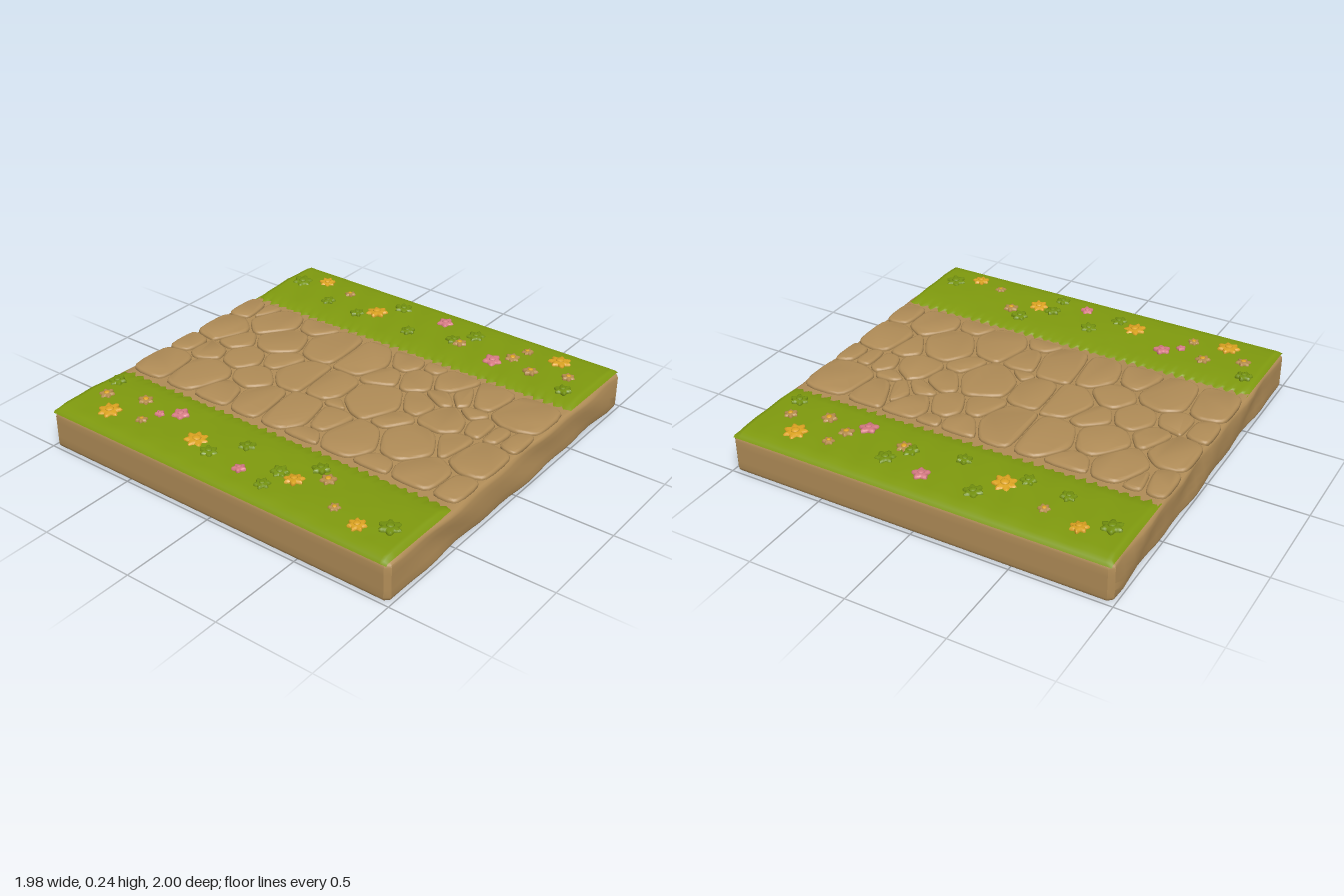
import * as THREE from 'three';
import { toCreasedNormals } from 'three/addons/utils/BufferGeometryUtils.js';

const mat = (name, color, side = THREE.FrontSide) => {
  const m = new THREE.MeshStandardMaterial({ color, side });
  m.name = name;
  return m;
};

// Cobbles: x, z, radius for each stone
const STONES = [
  -.33, -.88, .13, -.10, -.93, .07, .13, -.89, .12, .36, -.93, .07, .38, -.81, .05,
  -.11, -.78, .07, -.31, -.66, .14, -.05, -.59, .09, .06, -.74, .07, .33, -.70, .12,
  .20, -.53, .13, .41, -.49, .07, -.38, -.47, .10, -.17, -.41, .10, .04, -.40, .10,
  .28, -.31, .14, -.32, -.24, .13, -.02, -.25, .14, -.30, -.07, .15, -.01, -.08, .13,
  .29, -.08, .14, -.43, .10, .06, -.26, .10, .11, -.12, .08, .06, 0, .18, .15,
  .23, .08, .10, .39, .10, .09, .30, .24, .10, .42, .25, .06, -.32, .31, .14,
  -.08, .35, .08, .11, .37, .09, .22, .43, .07, .37, .38, .10, -.20, .53, .15,
  -.43, .50, .07, .06, .56, .11, .30, .52, .08, .35, .63, .11, .18, .64, .06,
  -.36, .73, .13, -.10, .70, .10, .11, .72, .08, .32, .83, .15, -.13, .87, .14,
  .11, .82, .07, .10, .92, .07, -.37, .90, .10];

// Plants: x, z, radius
const YELLOW = [-.85, -.74, .06, -.79, -.24, .06, -.77, .32, .05, -.87, .74, .045,
  .85, -.76, .045, .73, -.33, .06, .85, .72, .06];
const PINK = [-.67, -.45, .045, -.73, -.53, .025, -.85, .07, .035, .85, .03, .045, .66, .44, .05];
const TAN = [-.75, -.86, .04, -.68, -.67, .04, -.82, -.56, .03, -.68, .44, .04, -.83, .59, .03,
  .81, -.57, .03, .71, .21, .04, .74, .51, .04, .84, .54, .03, .68, .65, .04, .74, .83, .035];
const TUFTS = [-.63, -.91, .045, -.83, -.13, .045, -.69, -.02, .045, -.88, .23, .04, -.76, .23, .045,
  -.63, .36, .045, -.8, .86, .055, .78, -.88, .055, .68, -.62, .04, .66, -.41, .04,
  .85, -.24, .05, .66, -.08, .04, .82, .24, .05, .72, .17, .045, .62, .87, .045];

const triples = a => Array.from({ length: a.length / 3 }, (_, i) => a.slice(i * 3, i * 3 + 3));

// Extrude an outline of [x, z] points upward
function slabOf(shape, options) {
  const g = new THREE.ExtrudeGeometry(shape, options);
  g.rotateX(-Math.PI / 2);
  return g;
}
const toShape = pts => new THREE.Shape(pts.map(([x, z]) => new THREE.Vector2(x, -z)).reverse());

// Keep the part of a polygon where nx*x + nz*z <= d
function clip(poly, nx, nz, d) {
  const out = [];
  poly.forEach((p, i) => {
    const q = poly[(i + 1) % poly.length];
    const a = nx * p[0] + nz * p[1] - d, b = nx * q[0] + nz * q[1] - d;
    if (a <= 0) out.push(p);
    if (a * b < 0) out.push([p[0] + (q[0] - p[0]) * a / (a - b), p[1] + (q[1] - p[1]) * a / (a - b)]);
  });
  return out;
}

// Cut corners to round an outline
function roundOff(poly, t) {
  return poly.flatMap((p, i) => {
    const q = poly[(i + 1) % poly.length];
    const at = k => [p[0] + (q[0] - p[0]) * k, p[1] + (q[1] - p[1]) * k];
    return [at(t), at(1 - t)];
  });
}

// One cobble fills the space nearest to its centre, less a narrow joint
function stoneGeometry([x, z, r], all) {
  let poly = [[-.475, -.985], [.475, -.985], [.475, .975], [-.475, .975]];
  for (const [ox, oz, or] of all) {
    const dx = ox - x, dz = oz - z, len = Math.hypot(dx, dz);
    if (len === 0 || len > .7) continue;
    const reach = (len * len + r * r - or * or) / (2 * len) - .005;
    const nx = dx / len, nz = dz / len;
    poly = clip(poly, nx, nz, nx * x + nz * z + reach);
  }
  if (poly.length < 3) return null;
  poly = roundOff(roundOff(poly, .17), .25);
  const g = slabOf(toShape(poly), {
    depth: .01, bevelThickness: .012, bevelSize: .014, bevelOffset: -.014, bevelSegments: 3 });
  g.translate(0, .197, 0);
  return toCreasedNormals(g, .9);
}

function baseGeometry() {
  const S = .99, n = 24, pts = [];
  const corner = [[-1, -1], [1, -1], [1, 1], [-1, 1]];
  corner.forEach(([ax, az], k) => {
    const [bx, bz] = corner[(k + 1) % 4];
    for (let i = 0; i < n; i++) {
      const t = .012 + i / (n - 1) * .976;
      pts.push([S * (ax + (bx - ax) * t), S * (az + (bz - az) * t)]);
    }
  });
  const shape = toShape(pts);
  // Square sockets with hollowed sides near the corners
  for (const [cx, cz] of corner) {
    const hole = new THREE.Path();
    const X = cx * .81, Y = cz * .81, h = .085, c = .045;
    hole.moveTo(X - h, Y - h);
    hole.quadraticCurveTo(X, Y - c, X + h, Y - h);
    hole.quadraticCurveTo(X + c, Y, X + h, Y + h);
    hole.quadraticCurveTo(X, Y + c, X - h, Y + h);
    hole.quadraticCurveTo(X - c, Y, X - h, Y - h);
    shape.holes.push(hole);
  }
  const g = slabOf(shape, { depth: .15, steps: 4, curveSegments: 6,
    bevelThickness: .025, bevelSize: .022, bevelOffset: -.022, bevelSegments: 3 });
  g.translate(0, .025, 0);
  // Uneven earth on the front and back faces
  const p = g.attributes.position;
  for (let i = 0; i < p.count; i++) {
    const x = p.getX(i), y = p.getY(i), z = p.getZ(i);
    if (Math.abs(z) > .93 && Math.abs(x) < .95) {
      p.setZ(i, z + Math.sign(z) * .01 * Math.sin(x * 11 + y * 22) * Math.sin(x * 5 + 1));
    }
  }
  return toCreasedNormals(g, .7);
}

// Grass strip swept along z, with a ragged inner edge
function grassGeometry(side) {
  const profile = [[.505, .199], [.53, .21], [.58, .218], [.66, .222], [.75, .224],
    [.84, .224], [.92, .222], [.962, .215], [.98, .204], [.989, .19]];
  const rows = 110, cols = profile.length, pos = [], idx = [];
  for (let j = 0; j <= rows; j++) {
    const z = -.982 + 1.96 * j / rows;
    const end = j === 0 || j === rows;
    profile.forEach(([x, y], i) => {
      const ragged = i === 0 ? (j % 3 - 1) * .014 + .007 * Math.sin(j * 1.7) : 0;
      const bump = i > 1 && i < 7 ? .0035 * Math.sin(x * 23 + z * 13 * side) * Math.sin(z * 21 - x * 9) : 0;
      pos.push(side * (x + ragged), end ? Math.min(y, .199) : y + bump, z);
    });
  }
  for (let j = 0; j < rows; j++) for (let i = 0; i < cols - 1; i++) {
    const a = j * cols + i, b = a + 1, c = a + cols, d = c + 1;
    if (side > 0) idx.push(a, c, b, b, c, d);
    else idx.push(a, b, c, b, d, c);
  }
  const g = new THREE.BufferGeometry();
  g.setAttribute('position', new THREE.Float32BufferAttribute(pos, 3));
  g.setIndex(idx);
  g.computeVertexNormals();
  return g;
}

// Lobed blossom or leaf tuft
function lobedGeometry(r, lobes, depth, turn) {
  const pts = [];
  for (let i = 0; i < lobes * 6; i++) {
    const a = i / (lobes * 6) * Math.PI * 2;
    const q = r * (.84 + .16 * Math.cos(a * lobes));
    pts.push([q * Math.cos(a + turn), q * Math.sin(a + turn)]);
  }
  const g = slabOf(toShape(pts), { depth: .012, bevelThickness: depth, bevelSize: r * .25,
    bevelOffset: -r * .25, bevelSegments: 2 });
  return toCreasedNormals(g, .8);
}

export function createModel() {
  const model = new THREE.Group();
  model.name = 'gardenPathTile';
  const earth = mat('earth brown', 0xb08c57);
  const grass = mat('grass green', 0x7f9a0e, THREE.DoubleSide);
  const leaf = mat('leaf green', 0x74920f);
  const yellow = mat('blossom yellow', 0xdca321);
  const pink = mat('blossom pink', 0xd67b84);
  const tan = mat('blossom tan', 0xb58c4c);

  const add = (name, geometry, material, x = 0, y = 0, z = 0) => {
    const mesh = new THREE.Mesh(geometry, material);
    mesh.name = name;
    mesh.position.set(x, y, z);
    model.add(mesh);
    return mesh;
  };

  add('earthBase', baseGeometry(), earth);
  for (const side of [1, -1]) {
    add(side > 0 ? 'leftGrass' : 'rightGrass', grassGeometry(side), grass);
    // Pegs in the corner sockets
    for (const end of [1, -1]) {
      add('socketPeg', new THREE.SphereGeometry(.04, 16, 10), earth, side * .84, .045, end * .84);
    }
  }

  const stones = triples(STONES);
  for (const s of stones) {
    const g = stoneGeometry(s, stones);
    if (g) add('cobble', g, earth);
  }

  // Flowers and tufts, each leaning a little
  const plant = (name, list, material, lobes, centre) => triples(list).forEach(([x, z, r], i) => {
    const m = add(name, lobedGeometry(r, lobes, .008, i * 1.3), material, x, .216, z);
    m.rotation.set(.1 * Math.sin(i * 2.1), 0, .1 * Math.cos(i * 1.7));
    if (centre) {
      const c = new THREE.Mesh(new THREE.SphereGeometry(r * .35, 10, 6), centre);
      c.name = name + 'Centre';
      c.scale.y = .4;
      c.position.y = .02;
      m.add(c);
    }
  });
  plant('yellowFlower', YELLOW, yellow, 7, yellow);
  plant('pinkFlower', PINK, pink, 5, pink);
  plant('tanFlower', TAN, tan, 6, yellow);
  plant('leafTuft', TUFTS, leaf, 6, leaf);
  return model;
}
